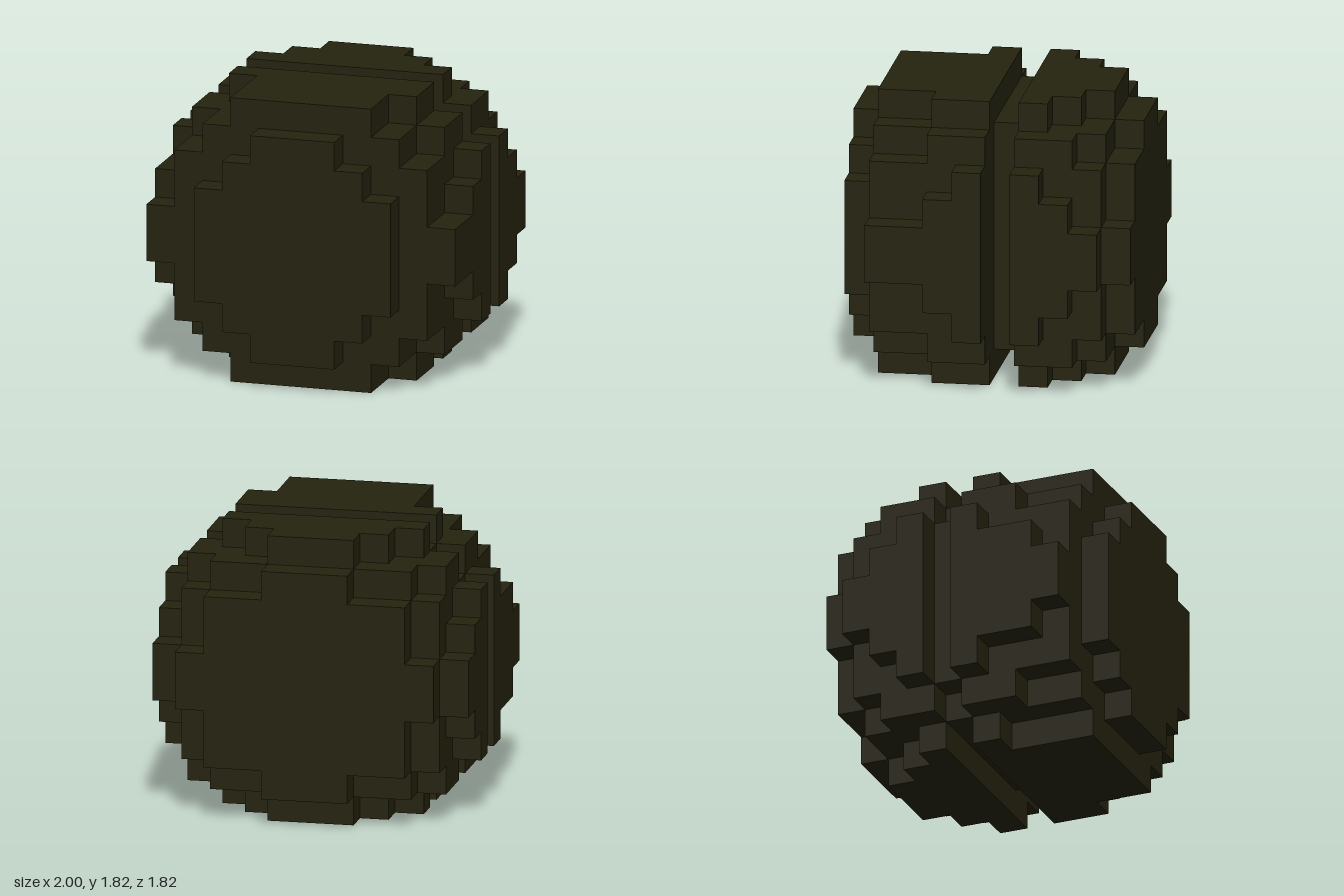
import * as THREE from 'three';

const U = 2 / 11; // edge of one block

// Half widths, in blocks, of the rows from the middle outward (mirrored up and down).
// Slices run from back to front; a second list is used where the -x side differs.
const SLICES = [
  { right: [4.5, 3.5, 3.5, 1.5] },
  { right: [5.5, 4.5, 4.5, 3.5, 1.5] },
  { right: [5.5, 5.5, 4.5, 4.5, 2.5] },
  { right: [5.5, 5.5, 5.5, 4.5, 3.5] },
  { right: [2.5, 2.5, 2.5, 2.5], left: [4.5, 4.5, 4.5, 3.5], name: 'grooveCore' },
  { right: [5.5, 5.5, 5.5, 4.5, 3.5] },
  { right: [5.5, 5.5, 4.5, 4.5, 3.5], left: [5.5, 5.5, 4.5, 4.5, 2.5] },
  { right: [5.5, 4.5, 4.5, 3.5, 2.5], left: [5.5, 5.5, 4.5, 3.5, 2.5] },
  { right: [5.5, 4.5, 4.5, 3.5, 2.5] },
  { right: [3.5, 3.5, 2.5, 1.5] },
];

// Stepped outline of one slice, counter-clockwise
function steppedShape(right, left) {
  const pts = [];
  const add = (x, y) => {
    const last = pts[pts.length - 1];
    if (!last || last.x !== x * U || last.y !== y * U) pts.push(new THREE.Vector2(x * U, y * U));
  };
  const n = right.length;
  for (let j = -n; j < n; j++) {
    const w = right[j < 0 ? -j - 1 : j];
    add(w, 5 + j);
    add(w, 6 + j);
  }
  for (let j = n - 1; j >= -n; j--) {
    const w = left[j < 0 ? -j - 1 : j];
    add(-w, 6 + j);
    add(-w, 5 + j);
  }
  // drop points lying on straight runs
  const corners = pts.filter((p, i) => {
    const a = pts[(i + pts.length - 1) % pts.length];
    const b = pts[(i + 1) % pts.length];
    return Math.abs((p.x - a.x) * (b.y - p.y) - (p.y - a.y) * (b.x - p.x)) > 1e-9;
  });
  return new THREE.Shape(corners);
}

export function createModel() {
  const model = new THREE.Group();
  model.name = 'blockBall';
  const darkOlive = new THREE.MeshStandardMaterial({ color: 0x25230f });
  darkOlive.name = 'darkOlive';

  // Ball built from one-block-thick slices
  SLICES.forEach(({ right, left = right, name }, k) => {
    const geometry = new THREE.ExtrudeGeometry(steppedShape(right, left), { depth: U, bevelEnabled: false });
    const slice = new THREE.Mesh(geometry, darkOlive);
    slice.name = name || `ballSlice${k + 1}`;
    slice.position.z = (k - 5) * U;
    model.add(slice);
  });
  return model;
}
